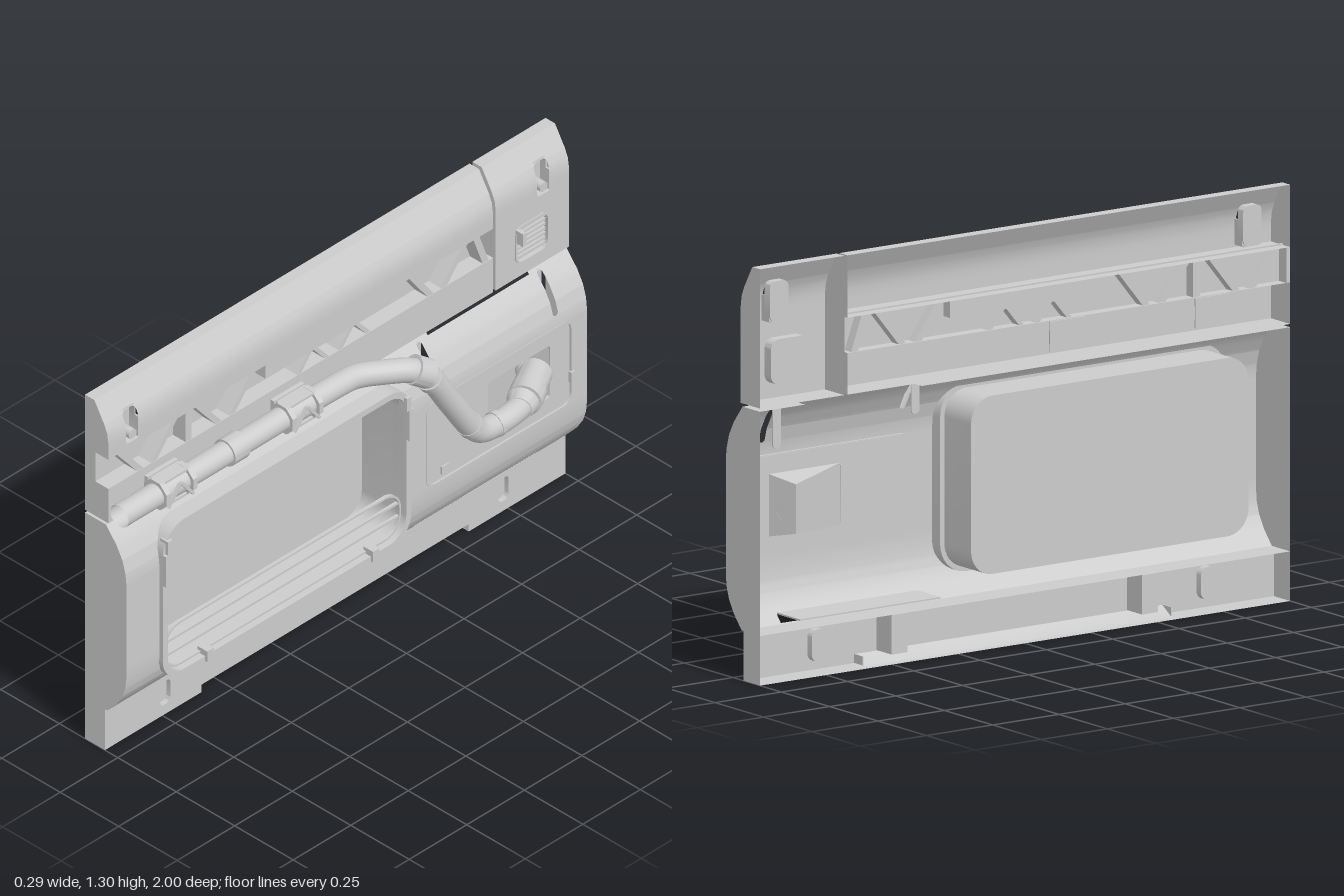
import * as THREE from 'three';
import { toCreasedNormals } from 'three/addons/utils/BufferGeometryUtils.js';

const mat = new THREE.MeshStandardMaterial({ color: 0xcccccc, side: THREE.DoubleSide });
const V = (x, y, z) => new THREE.Vector3(x, y, z);

export function createModel() {
  const root = new THREE.Group();
  const add = (name, geo) => {
    const m = new THREE.Mesh(geo, mat);
    m.name = name;
    root.add(m);
    return m;
  };
  const box = (name, x0, x1, y0, y1, z0, z1) =>
    add(name, new THREE.BoxGeometry(x1 - x0, y1 - y0, z1 - z0)
      .translate((x0 + x1) / 2, (y0 + y1) / 2, (z0 + z1) / 2));

  // Outlines are drawn as (-z, y) and extruded along x
  const outline = ([z0, z1, y0, y1, r = 0], grow = 0, Type = THREE.Shape) => {
    const a = -z1 - grow, b = -z0 + grow, c = y0 - grow, d = y1 + grow, s = new Type();
    const R = Math.max(r + grow, 0.001);
    s.absarc(b - R, d - R, R, 0, Math.PI / 2);
    s.absarc(a + R, d - R, R, Math.PI / 2, Math.PI);
    s.absarc(a + R, c + R, R, Math.PI, Math.PI * 1.5);
    s.absarc(b - R, c + R, R, Math.PI * 1.5, Math.PI * 2);
    return s;
  };
  const plate = (name, shape, x0, x1) => {
    const g = new THREE.ExtrudeGeometry(shape, { depth: x1 - x0, bevelEnabled: false, curveSegments: 6 });
    g.rotateY(Math.PI / 2).translate(x0, 0, 0);
    return add(name, toCreasedNormals(g, 0.6));
  };
  const ring = (name, rect, width, x0, x1) => {
    const s = outline(rect, width);
    s.holes.push(outline(rect, 0, THREE.Path));
    return plate(name, s, x0, x1);
  };
  const recess = (name, rect, xFront, xBack) => {
    ring(name + 'Walls', rect, 0.006, xBack, xFront);
    plate(name + 'Back', outline(rect, 0.006), xBack - 0.005, xBack);
  };

  // Hollow shell: a profile swept along z, open at the back, with rounded holes cut in its skin
  const inset = ([, , y0, y1, r = 0], y) => {
    const d = Math.max(0, r - Math.min(y - y0, y1 - y));
    return r - Math.sqrt(Math.max(0, r * r - d * d));
  };
  const shell = (name, profile, z0, z1, holes = [], ends = [z0, z1]) => {
    const levels = holes.flatMap(([, , a, b, r = 0]) => [0, 1, 2, 3, 4].flatMap(k => {
      const e = r * (1 - Math.cos(k * Math.PI / 8));
      return [a + e, b - e];
    }));
    const pos = [];
    for (let i = 0; i + 1 < profile.length; i++) {
      const [px, py] = profile[i], [qx, qy] = profile[i + 1];
      const ts = [0, 1];
      if (qy > py) for (const y of levels) if (y > py + 1e-5 && y < qy - 1e-5) ts.push((y - py) / (qy - py));
      ts.sort((a, b) => a - b);
      for (let k = 0; k + 1 < ts.length; k++) {
        if (ts[k + 1] - ts[k] < 1e-6) continue;
        const at = t => [px + (qx - px) * t, py + (qy - py) * t];
        const [xa, ya] = at(ts[k]), [xb, yb] = at(ts[k + 1]), mid = (ya + yb) / 2;
        const cuts = holes.filter(h => mid > h[2] && mid < h[3]).sort((a, b) => a[0] - b[0]);
        let lo = [z0, z0];
        const quad = hi => {
          const a = [xa, ya, lo[0]], b = [xa, ya, hi[0]], c = [xb, yb, hi[1]], d = [xb, yb, lo[1]];
          pos.push(...a, ...d, ...c, ...a, ...c, ...b);
        };
        for (const h of cuts) {
          const ia = inset(h, ya), ib = inset(h, yb);
          quad([h[0] + ia, h[0] + ib]);
          lo = [h[1] - ia, h[1] - ib];
        }
        quad([z1, z1]);
      }
    }
    const g = new THREE.BufferGeometry();
    g.setAttribute('position', new THREE.Float32BufferAttribute(pos, 3));
    add(name, toCreasedNormals(g, 0.6));
    const cap = new THREE.Shape(profile.map(p => new THREE.Vector2(...p)));
    for (const z of ends) {
      const c = new THREE.ShapeGeometry(cap);
      if (z === z0) c.rotateY(Math.PI).scale(-1, 1, 1);
      add(name + 'End', c.translate(0, 0, z));
    }
  };

  // Main lower panel with window, service hatch, slots and notches
  const windowRect = [-0.2, 0.835, 0.24, 0.785, 0.075];
  const hatch = [-0.93, -0.305, 0.355, 0.665, 0.035];
  const socket = [-0.845, -0.575, 0.415, 0.61, 0.012];
  const slots = [[-0.88, -0.858, 0.71, 0.845, 0.01], [-0.357, -0.335, 0.75, 0.845, 0.01]];
  shell('mainPanel', [[-0.14, 0.155], [-0.045, 0.155], [-0.005, 0.2], [0.02, 0.24], [0.033, 0.28], [0.037, 0.32],
    [0.037, 0.67], [0.033, 0.71], [0.02, 0.755], [-0.005, 0.8], [-0.05, 0.855], [-0.14, 0.855]],
  -1, 1, [windowRect, hatch, ...slots, [-0.85, -0.32, 0.158, 0.182], [-0.83, -0.39, 0.847, 0.86]]);
  slots.forEach(s => plate('slotBack', outline(s, 0.004), -0.048, -0.044));
  box('notchRoof', -0.14, -0.022, 0.182, 0.187, -0.85, -0.32);

  // Window: deep recess, raised frame and low guard rails
  recess('window', windowRect, 0.03, -0.138);
  ring('windowFrame', windowRect, 0.022, -0.005, 0.052);
  for (const [z, s] of [[-0.211, 1], [0.846, -1]]) {
    box('frameCheek', 0.03, 0.064, 0.6, 0.715, z - 0.01, z + 0.01);
    box('frameCheek', 0.03, 0.064, 0.715, 0.765, z + s * 0.01 - 0.01, z + s * 0.01 + 0.01);
  }
  ring('guardRailLoop', [-0.19, 0.822, 0.25, 0.4, 0.06], 0.007, 0.02, 0.032);
  for (const y of [0.305, 0.355]) box('guardRail', 0.02, 0.03, y - 0.004, y + 0.004, -0.195, 0.827);
  for (const z of [-0.06, 0.66]) box('railClip', 0.02, 0.062, 0.222, 0.262, z - 0.014, z + 0.014);

  // Service hatch with a wedge-shaped pipe socket
  const hatchShape = outline(hatch, 0.002);
  hatchShape.holes.push(outline(socket, 0, THREE.Path));
  plate('hatchPlate', hatchShape, 0.026, 0.032);
  ring('hatchLip', hatch, 0.005, 0.028, 0.039);
  const [near, far, low, high] = [-0.575, -0.845, 0.415, 0.61];
  const wedge = new THREE.BufferGeometry();
  wedge.setAttribute('position', new THREE.Float32BufferAttribute([
    0.028, low, near, 0.028, high, near, -0.065, low + 0.02, -0.81, -0.065, high - 0.02, -0.81,
    0.028, low, far, 0.028, high, far], 3));
  wedge.setIndex([0, 2, 3, 0, 3, 1, 2, 4, 5, 2, 5, 3, 0, 4, 2, 1, 3, 5]);
  add('socket', toCreasedNormals(wedge, 0.3));
  box('hatchTag', 0.03, 0.037, 0.372, 0.4, -0.405, -0.37);
  box('hatchLatch', 0.03, 0.045, 0.43, 0.47, -0.94, -0.925);

  // Base plinth: plain ends, bevelled middle, ribs behind
  const baseSlots = [[-0.755, -0.708, 0.035, 0.125, 0.02], [0.713, 0.76, 0.035, 0.125, 0.02]];
  const plinth = [[-0.14, 0], [-0.055, 0], [-0.055, 0.155], [-0.14, 0.155]];
  shell('plinthRightEnd', plinth, -1, -0.58, [baseSlots[0]], [-1]);
  shell('plinthLeftEnd', plinth, 0.58, 1, [baseSlots[1]], [1]);
  shell('plinthMiddle', [[-0.14, 0], [-0.1, 0], [-0.055, 0.028], [-0.055, 0.155], [-0.14, 0.155]], -0.58, 0.58, [], []);
  for (const z of [-0.582, 0.582]) box('bevelStop', -0.1, -0.056, 0.001, 0.029, z - 0.002, z + 0.002);
  baseSlots.forEach(s => recess('plinthSlot', s, -0.057, -0.075));
  for (const z of [-0.47, 0.475]) box('plinthRib', -0.135, -0.056, 0.03, 0.153, z - 0.03, z + 0.03);

  // Upper cover, end module and lower channel
  const crown = [[-0.04, 1.165], [-0.045, 1.2], [-0.058, 1.23], [-0.1, 1.3], [-0.14, 1.3]];
  const knobSlots = [[-0.92, -0.862, 1.12, 1.235, 0.015], [0.865, 0.923, 1.12, 1.235, 0.015]];
  const vent = [-0.904, -0.772, 0.918, 1.048, 0.025];
  shell('upperCover', [[-0.14, 1.105], [-0.04, 1.105], ...crown], -0.67, 1, [knobSlots[1]]);
  shell('endModule', [[-0.14, 0.865], [-0.04, 0.865], ...crown], -1, -0.682, [knobSlots[0], vent]);
  shell('pipeChannel', [[-0.14, 0.865], [-0.04, 0.865], [-0.04, 0.995], [-0.14, 0.995]], -0.67, 1);
  for (const s of knobSlots) {
    recess('knobSlot', s, -0.062, -0.085);
    box('knobSlotFloor', -0.085, -0.041, 1.112, 1.121, s[0], s[1]);
    for (const z of [s[0] - 0.003, s[1] + 0.003]) box('knobSlotSide', -0.085, -0.046, 1.115, 1.195, z - 0.003, z + 0.003);
    add('knob', new THREE.CylinderGeometry(0.017, 0.017, 0.045, 16).rotateZ(Math.PI / 2)
      .translate(-0.063, 1.147, (s[0] + s[1]) / 2));
  }

  // Lattice band: deep slanted struts through a thin backing
  box('latticeBack', -0.102, -0.096, 0.99, 1.11, -0.67, 1);
  box('latticeEnd', -0.14, -0.096, 0.995, 1.105, 0.985, 1);
  const strut = (zt, zb, w = 0.013, yt = 1.105, yb = 0.995) => plate('latticeStrut', new THREE.Shape([
    [-zb - w, yb], [-zb + w, yb], [-zt + w, yt], [-zt - w, yt]].map(p => new THREE.Vector2(...p))), -0.135, -0.042);
  for (const [t, b] of [[0.95, 0.86], [0.71, 0.8], [0.65, 0.65], [0.61, 0.52], [0.37, 0.46],
    [-0.32, -0.4], [-0.55, -0.46], [-0.6, -0.64]]) strut(t, b);
  for (const [t, b] of [[0.12, 0.17], [0.1, 0.05], [-0.06, -0.01], [-0.08, -0.13]]) strut(t, b, 0.009, 1.055);
  box('latticeBeam', -0.135, -0.042, 1.052, 1.105, -0.28, 0.315);

  // Sunken vent grille on the end module
  recess('vent', vent, -0.036, -0.068);
  for (let i = -3; i <= 3; i++) {
    const y = 0.983 + i * 0.0175;
    box('ventSlat', -0.066, -0.045, y - 0.005, y + 0.005, vent[0], vent[1]);
  }
  box('ventCatch', -0.04, -0.008, 1.0, 1.048, -0.782, -0.768);

  // Pipe
  const path = new THREE.CatmullRomCurve3([
    V(0.007, 0.916, 1), V(0.007, 0.916, 0.5), V(0.007, 0.916, 0.04), V(0.012, 0.914, -0.02), V(0.045, 0.9, -0.11),
    V(0.08, 0.88, -0.195), V(0.095, 0.85, -0.24), V(0.1, 0.7, -0.338), V(0.1, 0.56, -0.43), V(0.1, 0.52, -0.47),
    V(0.098, 0.505, -0.53), V(0.095, 0.505, -0.62), V(0.075, 0.505, -0.69), V(0.035, 0.505, -0.76), V(-0.03, 0.505, -0.81)]);
  add('pipe', new THREE.TubeGeometry(path, 160, 0.039, 20));
  const collar = (name, p, d, r, len, sides = 20, r2 = r) => {
    const profile = [[0.038, -len / 2], [r2, -len / 2], [r, len / 2], [0.038, len / 2]];
    const m = add(name, toCreasedNormals(
      new THREE.LatheGeometry(profile.map(q => new THREE.Vector2(...q)), sides).rotateY(Math.PI / sides), 0.6));
    m.position.copy(p);
    m.quaternion.setFromUnitVectors(V(0, 1, 0), d.clone().normalize());
  };
  const along = V(0, 0, -1), down = V(0, -0.84, -0.55), inward = V(-0.45, 0, -0.8);
  collar('pipeSleeve', V(0.007, 0.916, 0.51), along, 0.046, 0.065);
  collar('elbowCollar', V(0.09, 0.867, -0.222), V(0.03, -0.06, -0.09), 0.048, 0.06);
  collar('elbowCollar', V(0.1, 0.825, -0.257), down, 0.044, 0.022);
  collar('elbowCollar', V(0.1, 0.56, -0.43), down, 0.042, 0.02);
  collar('elbowCollar', V(0.097, 0.505, -0.545), along, 0.042, 0.02);
  collar('nozzle', V(0.085, 0.505, -0.665), inward, 0.052, 0.04, 20, 0.041);
  collar('nozzle', V(0.06, 0.505, -0.715), inward, 0.056, 0.06);
  collar('nozzle', V(0.02, 0.505, -0.78), inward, 0.052, 0.09);

  // Pipe clamps: octagonal rings joined by bars and cross braces
  for (const zc of [0.778, 0.23]) {
    for (const s of [-1, 1]) {
      collar('clampRing', V(0.007, 0.917, zc + s * 0.058), along, 0.053, 0.018, 8);
      box('clampBar', -0.02, 0.03, 0.916 + s * 0.045 - 0.004, 0.916 + s * 0.045 + 0.004, zc - 0.06, zc + 0.06);
      const brace = add('clampBrace', new THREE.BoxGeometry(0.01, 0.01, 0.085));
      brace.position.set(0.05, 0.915, zc + s * 0.028);
      brace.rotation.x = s * 0.9;
    }
    box('clampFoot', -0.045, -0.025, 0.872, 0.965, zc - 0.066, zc + 0.066);
  }
  return root;
}
